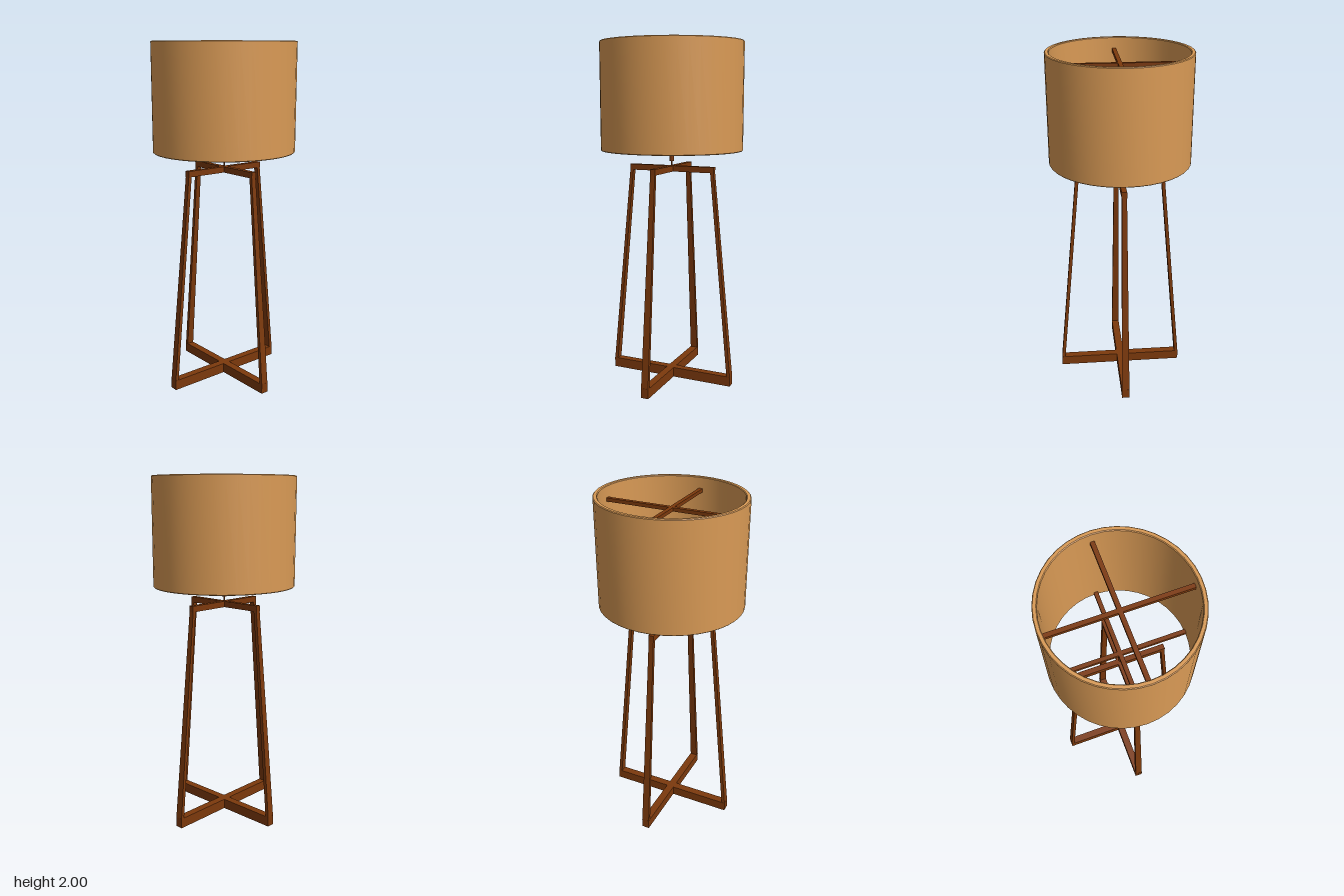
import * as THREE from 'three';
import { toCreasedNormals } from 'three/addons/utils/BufferGeometryUtils.js';

export function createModel() {
  const model = new THREE.Group();
  model.name = 'tableLamp';

  const wood = new THREE.MeshStandardMaterial({ color: 0x7c390c });
  wood.name = 'brown wood';
  const fabric = new THREE.MeshStandardMaterial({ color: 0xd99a55 });
  fabric.name = 'tan fabric';

  const add = (parent, name, geometry, material, y = 0) => {
    const mesh = new THREE.Mesh(geometry, material);
    mesh.name = name;
    mesh.position.y = y;
    parent.add(mesh);
    return mesh;
  };

  // Sloping leg: a box whose top is narrower and pulled towards the centre
  const legGeometry = (side, bottom, top, y0, y1) => {
    const geo = new THREE.BoxGeometry(1, 1, 1);
    const p = geo.attributes.position;
    for (let i = 0; i < p.count; i++) {
      const up = p.getY(i) > 0;
      const outer = up ? top : bottom;
      const thick = 0.02;
      const width = up ? 0.028 : 0.044;
      const x = p.getX(i) * side > 0 ? outer : outer - thick;
      p.setXYZ(i, side * x, up ? y1 : y0, p.getZ(i) * width);
    }
    geo.computeVertexNormals();
    return geo;
  };

  // Two crossing trapezoid frames
  const frames = [
    { name: 'sideFrame', bottom: 0.375, top: 0.26, turn: 0 },
    { name: 'frontFrame', bottom: 0.385, top: 0.266, turn: Math.PI / 2 },
  ];
  for (const f of frames) {
    const frame = new THREE.Group();
    frame.name = f.name;
    frame.rotation.y = f.turn;
    add(frame, 'baseBar', new THREE.BoxGeometry(f.bottom * 2, 0.058, 0.045), wood, 0.029);
    add(frame, 'topBar', new THREE.BoxGeometry(f.top * 2, 0.034, 0.03), wood, 1.277);
    for (const side of [1, -1]) {
      add(frame, side > 0 ? 'legA' : 'legB', legGeometry(side, f.bottom, f.top - 0.002, 0.05, 1.28), wood);
    }
    model.add(frame);
  }

  // Thin stem and the sleeve carrying the shade
  add(model, 'stem', new THREE.CylinderGeometry(0.004, 0.004, 0.05, 8), wood, 1.31);
  add(model, 'sleeve', new THREE.CylinderGeometry(0.0125, 0.0125, 0.08, 12), wood, 1.36);

  // Cross braces near the bottom and top of the shade
  for (const [name, y] of [['lowerBrace', 1.4], ['upperBrace', 1.925]]) {
    add(model, name + 'Side', new THREE.BoxGeometry(0.76, 0.02, 0.024), wood, y);
    add(model, name + 'Front', new THREE.BoxGeometry(0.024, 0.02, 0.78), wood, y);
  }

  // Hollow drum shade with slightly eased rims
  const [ro, ri, y0, y1, e] = [0.402, 0.378, 1.382, 2, 0.004];
  const profile = [
    [ro, y0 + e], [ro, y1 - e], [ro - e, y1], [ri + e, y1],
    [ri, y1 - e], [ri, y0 + e], [ri + e, y0], [ro - e, y0], [ro, y0 + e],
  ].map(([x, y]) => new THREE.Vector2(x, y));
  const shade = add(model, 'shade', toCreasedNormals(new THREE.LatheGeometry(profile, 40), 0.6), fabric);
  shade.scale.z = 1.03;

  return model;
}
